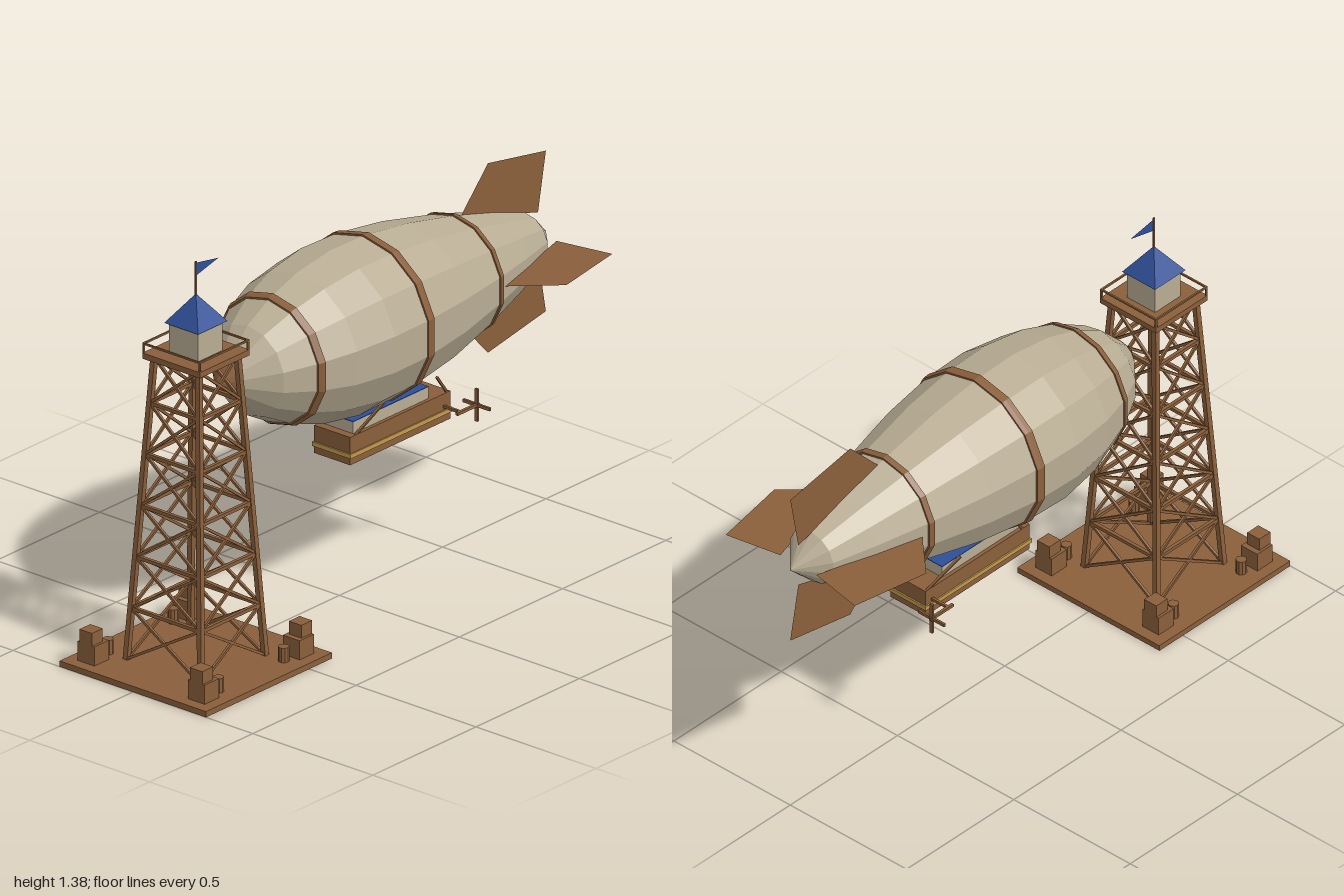
import * as THREE from 'three';

const mat = (name, color, extra = {}) => {
  const m = new THREE.MeshStandardMaterial({ color, flatShading: true, ...extra });
  m.name = name;
  return m;
};

export function createModel() {
  const wood = mat('brown wood', 0x8a5f3b);
  const woodSheet = mat('brown sheet', 0x8a5f3b, { side: THREE.DoubleSide });
  const canvas = mat('beige canvas', 0xb9ad94);
  const blue = mat('blue roof', 0x2f4f97);
  const blueCloth = mat('blue cloth', 0x2f4f97, { side: THREE.DoubleSide });
  const gold = mat('gold trim', 0xc29a4c);

  const model = new THREE.Group();
  const group = (name, x = 0, y = 0, z = 0) => {
    const g = new THREE.Group();
    g.name = name;
    g.position.set(x, y, z);
    model.add(g);
    return g;
  };
  const add = (parent, name, geo, material, x = 0, y = 0, z = 0) => {
    const m = new THREE.Mesh(geo, material);
    m.name = name;
    m.position.set(x, y, z);
    parent.add(m);
    return m;
  };
  const box = (parent, name, material, w, h, d, x, y, z) =>
    add(parent, name, new THREE.BoxGeometry(w, h, d), material, x, y, z);
  // square bar between two points
  const up = new THREE.Vector3(0, 1, 0);
  const bar = (parent, name, a, b, t) => {
    const p = new THREE.Vector3(...a), q = new THREE.Vector3(...b);
    const dir = q.clone().sub(p);
    const m = box(parent, name, wood, t, dir.length(), t, 0, 0, 0);
    m.position.copy(p).add(q).multiplyScalar(0.5);
    m.quaternion.setFromUnitVectors(up, dir.normalize());
    return m;
  };

  // ---------- mooring tower ----------
  const tower = group('mooringTower', -0.695);
  box(tower, 'base', wood, 0.61, 0.02, 0.61, 0, 0.01, 0);

  const step = 0.1765, y0 = 0.02, yTop = 1.06;
  const half = (y) => 0.155 - 0.062 * (y - y0) / (yTop - y0);
  const corners = [[1, 1], [1, -1], [-1, -1], [-1, 1]];
  const at = (c, y) => [c[0] * half(y), y, c[1] * half(y)];
  corners.forEach((c, i) => {
    const n = corners[(i + 1) % 4];
    bar(tower, 'leg', at(c, y0), at(c, yTop), 0.018);
    for (let k = 0; k < 6; k++) {
      const a = y0 + k * step, b = Math.min(a + step, yTop);
      bar(tower, 'crossBrace', at(c, a), at(n, b), 0.009);
      bar(tower, 'crossBrace', at(n, a), at(c, b), 0.009);
      bar(tower, 'ringBeam', at(c, b), at(n, b), 0.012);
    }
    // railing
    const r = 0.117;
    bar(tower, 'railPost', [c[0] * r, 1.07, c[1] * r], [c[0] * r, 1.11, c[1] * r], 0.006);
    bar(tower, 'handRail', [c[0] * r, 1.107, c[1] * r], [n[0] * r, 1.107, n[1] * r], 0.006);
    // cargo on the base
    box(tower, 'lowerCrate', wood, 0.07, 0.066, 0.07, c[0] * 0.23, 0.053, c[1] * 0.23);
    box(tower, 'upperCrate', wood, 0.052, 0.045, 0.052, c[0] * 0.24, 0.108, c[1] * 0.23);
    add(tower, 'barrel', new THREE.CylinderGeometry(0.018, 0.018, 0.05, 10), wood,
      c[0] * 0.158, 0.045, c[1] * 0.23);
  });
  box(tower, 'platform', wood, 0.24, 0.02, 0.24, 0, 1.065, 0);
  box(tower, 'lookoutCabin', canvas, 0.12, 0.102, 0.12, 0, 1.126, 0);
  const roof = new THREE.ConeGeometry(0.071 * Math.SQRT2, 0.098, 4);
  roof.rotateY(Math.PI / 4);
  add(tower, 'lookoutRoof', roof, blue, 0, 1.225, 0);
  add(tower, 'flagPole', new THREE.CylinderGeometry(0.004, 0.004, 0.125, 6), wood, 0, 1.3225, 0);
  const flag = new THREE.Shape([[0, 1.38], [0, 1.335], [0.11, 1.361]].map((p) => new THREE.Vector2(...p)));
  add(tower, 'flag', new THREE.ShapeGeometry(flag), blueCloth);

  // ---------- airship envelope ----------
  const ship = group('airship', 0, 0.925, 0);
  const profile = [[-0.54, 0.06], [-0.445, 0.155], [-0.335, 0.215], [-0.205, 0.258], [-0.045, 0.281],
    [0.125, 0.277], [0.33, 0.25], [0.56, 0.2], [0.75, 0.147], [0.9, 0.096], [1, 0]];
  // fourteen-sided turning along x, with a corner line on top
  const turned = (pts) => {
    const g = new THREE.LatheGeometry(pts.map(([x, r]) => new THREE.Vector2(r, x)), 14);
    g.rotateY(Math.PI / 2);
    g.rotateZ(-Math.PI / 2);
    return g;
  };
  const radiusAt = (x) => {
    const i = profile.findIndex((p) => p[0] >= x);
    const [a, b] = [profile[i - 1], profile[i]];
    return a[1] + (b[1] - a[1]) * (x - a[0]) / (b[0] - a[0]);
  };
  add(ship, 'envelope', turned(profile), canvas);
  add(ship, 'noseCone', turned([[-0.59, 0], [-0.54, 0.062], [-0.535, 0.05]]), wood);
  [[-0.333, 0.024], [0.128, 0.032], [0.557, 0.02]].forEach(([x, w]) => {
    const a = x - w / 2, b = x + w / 2, ra = radiusAt(a), rb = radiusAt(b);
    add(ship, 'hoop', turned([[a, ra - 0.004], [a, ra + 0.006], [x, radiusAt(x) + 0.006],
      [b, rb + 0.006], [b, rb - 0.004]]), wood);
  });
  // four tail fins
  const finShape = new THREE.Shape([[0.585, 0.185], [0.72, 0.327], [1, 0.277], [0.962, 0.077]]
    .map((p) => new THREE.Vector2(...p)));
  for (let i = 0; i < 4; i++) {
    add(ship, 'tailFin', new THREE.ShapeGeometry(finShape), woodSheet).rotation.x = i * Math.PI / 2;
  }

  // ---------- gondola ----------
  const gondola = group('gondola');
  box(gondola, 'gondolaHull', wood, 0.485, 0.096, 0.15, 0.208, 0.53, 0);
  box(gondola, 'goldStripe', gold, 0.495, 0.015, 0.16, 0.208, 0.514, 0);
  box(gondola, 'gondolaCabin', canvas, 0.365, 0.04, 0.124, 0.177, 0.597, 0);
  box(gondola, 'gondolaRoof', blue, 0.365, 0.003, 0.124, 0.177, 0.6185, 0);
  bar(gondola, 'outrigger', [0.42, 0.534, -0.145], [0.42, 0.534, 0.145], 0.009);
  for (const s of [-1, 1]) {
    bar(gondola, 'frontStrut', [-0.005, 0.575, s * 0.07], [0.08, 0.675, s * 0.118], 0.008);
    bar(gondola, 'rearStrut', [0.44, 0.575, s * 0.07], [0.335, 0.675, s * 0.118], 0.008);
    bar(gondola, 'propellerShaft', [0.4, 0.534, s * 0.145], [0.506, 0.534, s * 0.145], 0.01);
    box(gondola, 'propellerBlade', wood, 0.008, 0.112, 0.011, 0.497, 0.534, s * 0.145);
    box(gondola, 'propellerBlade', wood, 0.008, 0.011, 0.112, 0.497, 0.534, s * 0.145);
  }
  return model;
}
